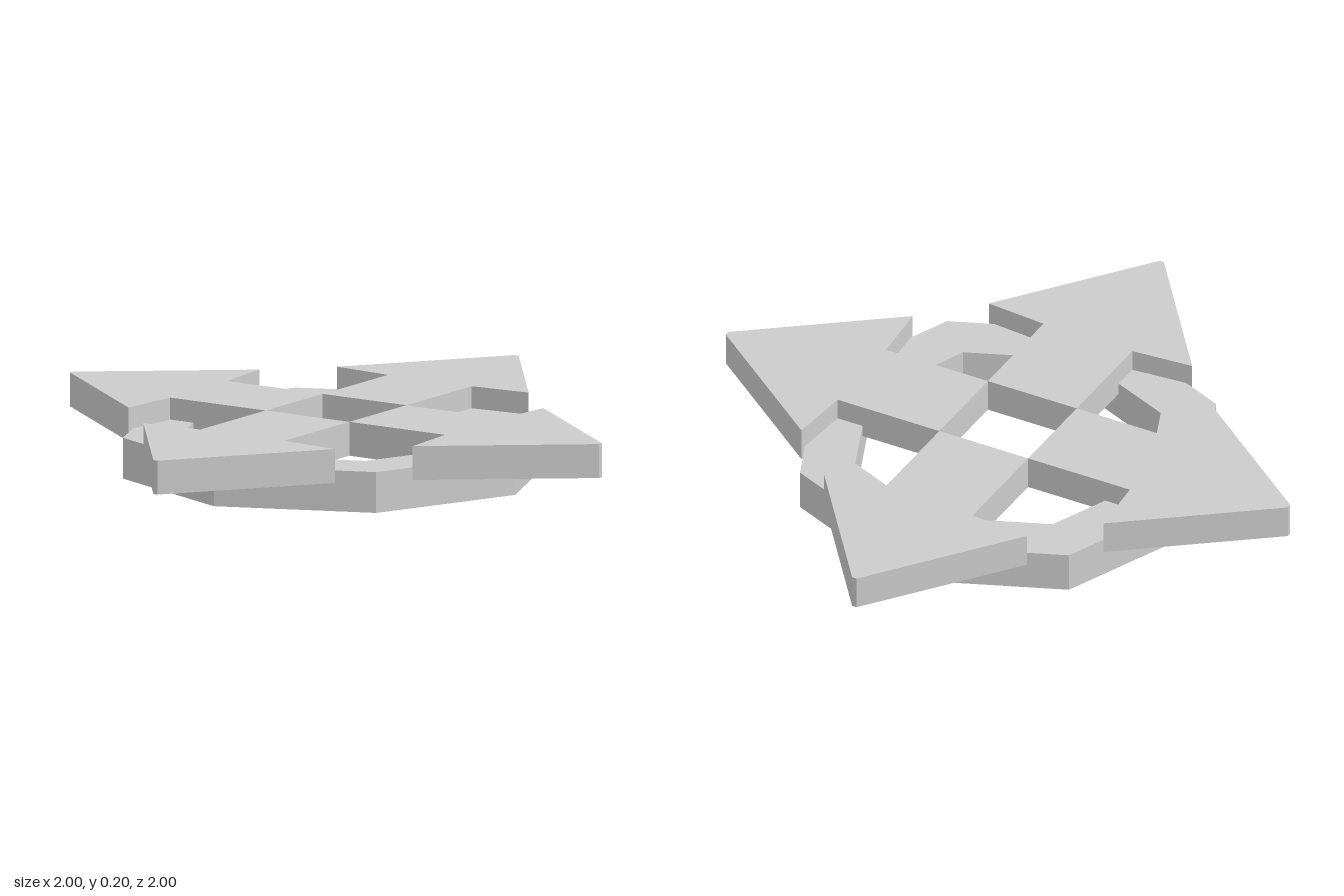
import * as THREE from 'three';

const material = new THREE.MeshStandardMaterial({ color: 0xcccccc, flatShading: true });

// Extrudes a flat outline upwards from y0 to y1
function slab(name, shape, y0, y1) {
  const geometry = new THREE.ExtrudeGeometry(shape, { depth: y1 - y0, bevelEnabled: false });
  geometry.rotateX(-Math.PI / 2);
  geometry.translate(0, y0, 0);
  const mesh = new THREE.Mesh(geometry, material);
  mesh.name = name;
  return mesh;
}

// Octagon with its corners on the axes and diagonals
function octagon(radius) {
  return Array.from({ length: 8 }, (_, i) => {
    const a = (i * Math.PI) / 4;
    return new THREE.Vector2(radius * Math.cos(a), radius * Math.sin(a));
  });
}

export function createModel() {
  const model = new THREE.Group();
  model.name = 'fourWayArrows';

  // Eight-sided base ring
  const ring = new THREE.Shape(octagon(0.677));
  ring.holes.push(new THREE.Path(octagon(0.497)));
  model.add(slab('baseRing', ring, 0, 0.13));

  // Arrow outline: shaft, swept barb and blunt tip, mirrored
  const half = [[0.158, 0.158], [0.158, 0.52], [0.362, 0.537], [0.008, 1]];
  const mirrored = half.map(([x, y]) => [-x, y]).reverse();
  const outline = [...half, ...mirrored].map(([x, y]) => new THREE.Vector2(x, y));

  // Four arrows around the open centre
  ['backArrow', 'rightArrow', 'frontArrow', 'leftArrow'].forEach((name, i) => {
    const arrow = slab(name, new THREE.Shape(outline), 0.092, 0.2);
    arrow.rotation.y = (i * Math.PI) / 2;
    model.add(arrow);
  });

  return model;
}
